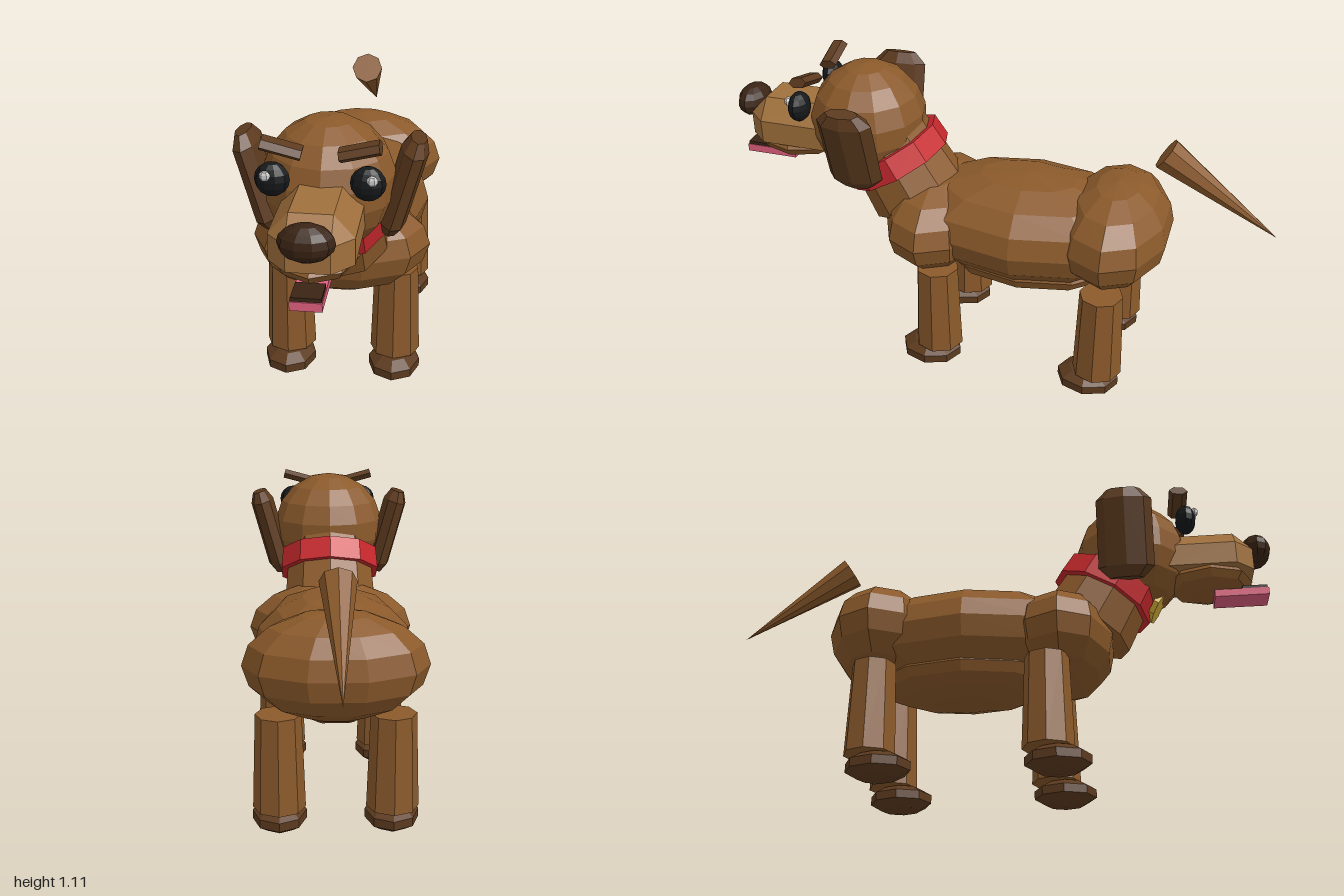
import * as THREE from 'three';
import { ConvexGeometry } from 'three/addons/geometries/ConvexGeometry.js';

const paint = (color) => new THREE.MeshStandardMaterial({ color, flatShading: true });
const fur = paint(0x8b5a2b), darkFur = paint(0x5c3a1e), paleFur = paint(0xa0703c);
const noseSkin = paint(0x3a2414), eyeBlack = paint(0x16181a), shine = paint(0xcccccc);
const red = paint(0xc8282d), gold = paint(0xd4af37), pink = paint(0xe0607e);

export function createModel() {
  const model = new THREE.Group();

  const add = (name, geometry, material, position, rotation = [0, 0, 0]) => {
    const mesh = new THREE.Mesh(geometry, material);
    mesh.name = name;
    mesh.position.set(...position);
    mesh.rotation.set(...rotation);
    model.add(mesh);
    return mesh;
  };
  const ball = (name, material, position, radii, around = 10, rows = 8) =>
    add(name, new THREE.SphereGeometry(1, around, rows).scale(...radii), material, position);

  // Torso
  ball('body', fur, [0, 0.57, -0.12], [0.286, 0.195, 0.47]);
  ball('belly', fur, [0, 0.43, -0.13], [0.21, 0.095, 0.34]);
  ball('chest', fur, [0, 0.55, 0.215], [0.312, 0.178, 0.195]);
  ball('hips', fur, [0, 0.6, -0.445], [0.312, 0.185, 0.2]);

  // Neck and collar share one forward-leaning axis
  const lean = Math.PI / 6;
  const alongNeck = (d) => [0, 0.617 + d * Math.cos(lean), 0.3 + d * Math.sin(lean)];
  add('neck', new THREE.CylinderGeometry(0.16, 0.183, 0.3, 10), fur, alongNeck(0.15), [lean, 0, 0]);
  add('collar', new THREE.CylinderGeometry(0.192, 0.198, 0.085, 10), red, alongNeck(0.174), [lean, 0, 0]);
  add('collarTag', new THREE.CylinderGeometry(0.058, 0.058, 0.02, 8), gold,
    [0, 0.692, 0.565], [lean + Math.PI / 2, 0, 0]);

  // Head
  ball('head', fur, [0, 0.895, 0.485], [0.215, 0.215, 0.21], 12, 9);

  // Muzzle with chamfered front and top
  const muzzlePoints = [];
  for (const s of [-1, 1]) {
    for (const y of [0.8, 0.885]) {
      for (const [x, z] of [[0.127, 0.6], [0.127, 0.86], [0.065, 0.927]]) {
        muzzlePoints.push(new THREE.Vector3(s * x, y, z));
      }
    }
    for (const z of [0.6, 0.86]) muzzlePoints.push(new THREE.Vector3(s * 0.065, 0.955, z));
  }
  add('muzzle', new ConvexGeometry(muzzlePoints), paleFur, [0, 0, 0]);
  ball('jaw', fur, [0, 0.782, 0.765], [0.13, 0.055, 0.16], 8, 6);
  ball('nose', noseSkin, [0, 0.907, 0.945], [0.084, 0.058, 0.056]);
  add('tongue', new THREE.BoxGeometry(0.095, 0.028, 0.195), pink, [0, 0.719, 0.877]);
  add('mouthLine', new THREE.BoxGeometry(0.09, 0.012, 0.09), noseSkin, [0, 0.739, 0.925]);

  // Flat flap with chamfered ends, used for both ears
  const earProfile = [[0, -0.165], [0.06, -0.165], [0.1, -0.125], [0.1, 0.125], [0.06, 0.165], [0, 0.165]]
    .map(([r, y]) => new THREE.Vector2(r, y));
  const earGeometry = new THREE.LatheGeometry(earProfile, 8).scale(0.45, 1, 1);
  const browGeometry = new THREE.CylinderGeometry(0.034, 0.034, 0.125, 6)
    .rotateZ(Math.PI / 2).scale(1, 0.6, 1);

  // Paired features of the face
  for (const [side, s] of [['left', 1], ['right', -1]]) {
    ball(side + 'Eye', eyeBlack, [s * 0.143, 0.978, 0.687], [0.054, 0.054, 0.038]);
    ball(side + 'EyeShine', shine, [s * 0.158, 1.0, 0.72], [0.017, 0.017, 0.014], 6, 5);
    add(side + 'Eyebrow', browGeometry, darkFur, [s * 0.117, 1.07, 0.665], [0.15, 0, s * 0.26]);
    add(side + 'Ear', earGeometry, darkFur, [s * 0.232, 0.884, 0.463], [0, 0, -s * 0.27]);
  }

  // Legs and paws
  for (const [side, s] of [['Left', 1], ['Right', -1]]) {
    for (const [end, z] of [['front', 0.17], ['back', -0.44]]) {
      add(end + side + 'Leg', new THREE.CylinderGeometry(0.078, 0.09, 0.335, 8), fur, [s * 0.193, 0.262, z]);
      ball(end + side + 'Paw', darkFur, [s * 0.193, 0.051, z + 0.032], [0.098, 0.05, 0.119], 8, 5);
    }
  }

  // Tail cone pointing back and down
  const root = new THREE.Vector3(0, 0.917, -0.597), tip = new THREE.Vector3(0, 0.65, -1);
  const direction = tip.clone().sub(root);
  const tail = add('tail', new THREE.ConeGeometry(0.06, direction.length(), 8), fur,
    root.clone().add(tip).multiplyScalar(0.5).toArray());
  tail.quaternion.setFromUnitVectors(new THREE.Vector3(0, 1, 0), direction.normalize());

  return model;
}
